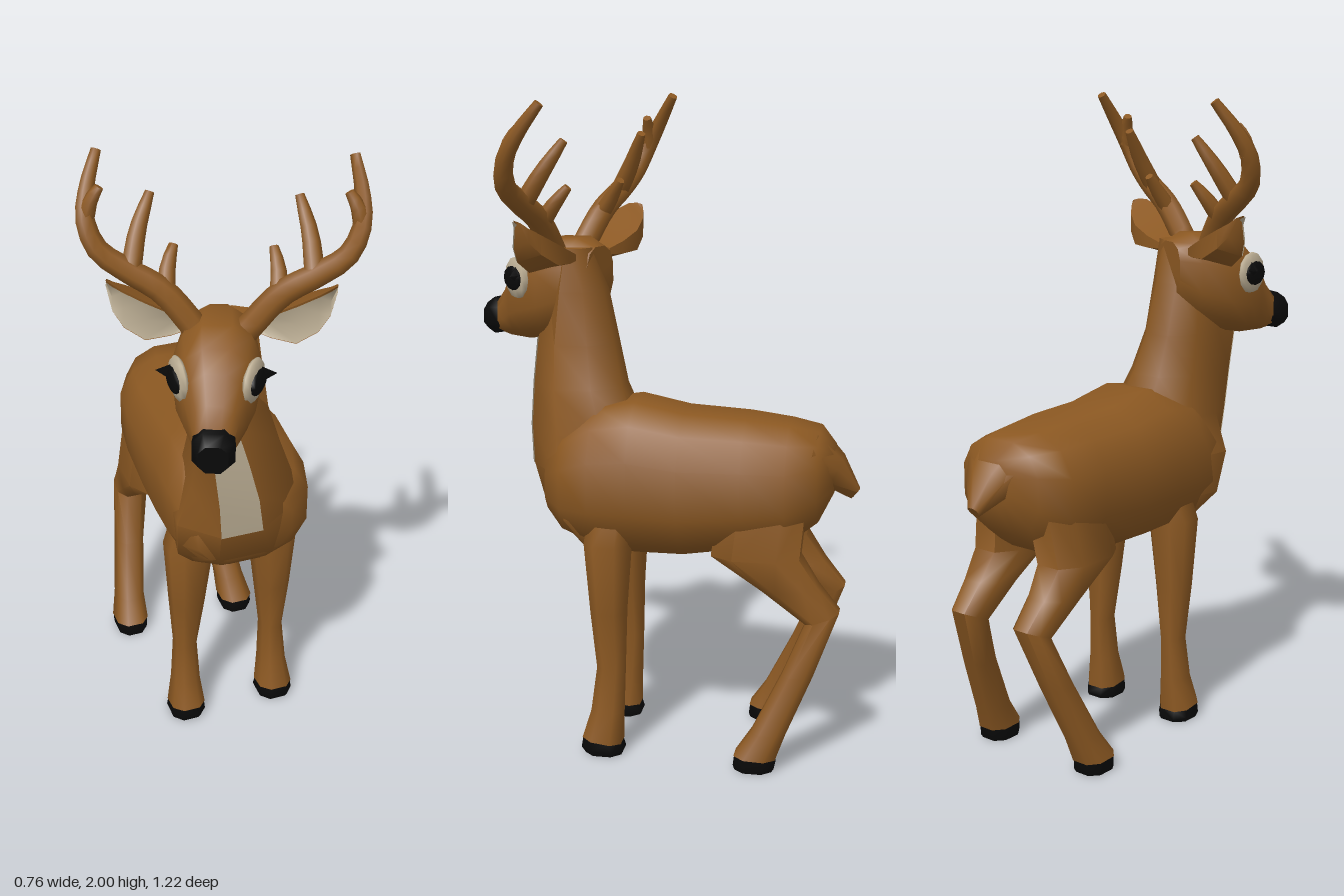
import * as THREE from 'three';
import { toCreasedNormals } from 'three/addons/utils/BufferGeometryUtils.js';

const V = (x, y, z) => new THREE.Vector3(x, y, z);
const CX = 0.068; // centre line of the trunk

// Surface through rows of points; closed lofts get end caps and outward faces.
function loft(rows, closed = true, crease = 1) {
  const pts = rows.flat(), n = rows[0].length, tris = [];
  for (let i = 0; i < rows.length - 1; i++) {
    for (let j = 0; j < (closed ? n : n - 1); j++) {
      const a = i * n + j, b = i * n + (j + 1) % n;
      tris.push([a, b, b + n], [a, b + n, a + n]);
    }
  }
  if (closed) {
    for (const [row, start, flip] of [[rows[0], 0, true], [rows.at(-1), (rows.length - 1) * n, false]]) {
      const mid = V(0, 0, 0);
      row.forEach(p => mid.addScaledVector(p, 1 / n));
      const c = pts.push(mid) - 1;
      for (let j = 0; j < n; j++) {
        const a = start + j, b = start + (j + 1) % n;
        tris.push(flip ? [b, a, c] : [a, b, c]);
      }
    }
    let volume = 0;
    for (const [a, b, c] of tris) volume += pts[a].dot(V(0, 0, 0).crossVectors(pts[b], pts[c]));
    if (volume < 0) tris.forEach(t => t.reverse());
  }
  const geo = new THREE.BufferGeometry().setFromPoints(pts);
  geo.setIndex(tris.flat());
  return toCreasedNormals(geo, crease);
}

// Rounded-square ring: fn receives two values from -1 to 1 and returns a point.
function ring(n, fn, power = 0.8) {
  const reach = Math.cos(Math.PI / n);
  const soft = v => Math.sign(v) * (Math.abs(v) / reach) ** power;
  return Array.from({ length: n }, (_, k) => {
    const a = ((k + 0.5) / n) * Math.PI * 2;
    return fn(soft(Math.cos(a)), soft(Math.sin(a)));
  });
}

// Upright rings stacked along z: [z, centre x, half width, top y, bottom y]
const alongZ = (list, n) => list.map(([z, cx, hw, top, bot]) =>
  ring(n, (c, s) => V(cx + hw * c, (top + bot) / 2 + (top - bot) / 2 * s, z)));

// Leg rings: [centre x, half width, front z, front y, back z, back y]
const legRings = (list, side) => list.map(([x, hw, zf, yf, zb, yb]) =>
  ring(8, (c, s) => V(CX + side * (x + hw * c), (yf + yb) / 2 + (yf - yb) / 2 * s, (zf + zb) / 2 + (zf - zb) / 2 * s)));

// Tapering branch through points
function branch(points, r0, r1, steps) {
  const curve = new THREE.CatmullRomCurve3(points);
  const { normals, binormals } = curve.computeFrenetFrames(steps);
  const rows = [];
  for (let i = 0; i <= steps; i++) {
    const t = i / steps, p = curve.getPointAt(t), r = r0 + (r1 - r0) * t ** 2;
    rows.push(ring(7, (c, s) => p.clone().addScaledVector(normals[i], r * c).addScaledVector(binormals[i], r * s), 1));
  }
  return loft(rows);
}

export function createModel() {
  const coat = new THREE.MeshStandardMaterial({ color: 0x8b5822 });
  coat.name = 'brownCoat';
  const cream = new THREE.MeshStandardMaterial({ color: 0xbcae94, side: THREE.DoubleSide });
  cream.name = 'creamFur';
  const black = new THREE.MeshStandardMaterial({ color: 0x090909 });
  black.name = 'blackHorn';

  const model = new THREE.Group();
  model.name = 'stag';
  const add = (parent, name, geo, mat) => {
    const mesh = new THREE.Mesh(geo, mat);
    mesh.name = name;
    parent.add(mesh);
    return mesh;
  };

  // Trunk
  add(model, 'body', loft(alongZ([
    [-0.535, 0.083, 0.075, 0.98, 0.84], [-0.49, 0.08, 0.15, 1.03, 0.75], [-0.40, 0.075, 0.195, 1.045, 0.68],
    [-0.27, 0.073, 0.212, 1.06, 0.66], [-0.08, 0.068, 0.215, 1.07, 0.63], [0.07, 0.066, 0.222, 1.10, 0.63],
    [0.19, 0.065, 0.222, 1.08, 0.645], [0.28, 0.06, 0.205, 1.02, 0.68], [0.34, 0.04, 0.15, 0.94, 0.74],
  ], 12)), coat);

  // Tail
  add(model, 'tail', loft([
    [1.025, 0.87, -0.485, -0.45, 0.13], [0.945, 0.86, -0.56, -0.515, 0.075], [0.85, 0.82, -0.61, -0.585, 0.018],
  ].map(([yo, yi, zo, zi, hw]) =>
    ring(8, (c, s) => V(0.087 + hw * c, (yo + yi) / 2 + (yo - yi) / 2 * s, (zo + zi) / 2 + (zo - zi) / 2 * s)))), coat);

  // Chest and neck: [y, front x, front half width, front z, centre x, half width, back z]
  const neckRows = [
    [0.645, 0.08, 0.05, 0.24, 0.07, 0.14, 0.10], [0.75, 0.04, 0.085, 0.345, 0.05, 0.2, 0.10],
    [0.88, 0.005, 0.066, 0.40, 0.03, 0.192, 0.08], [1.0, -0.01, 0.062, 0.41, 0.04, 0.16, 0.06],
    [1.13, -0.035, 0.053, 0.41, 0.02, 0.13, 0.12], [1.26, -0.065, 0.045, 0.405, 0, 0.108, 0.15],
    [1.42, -0.06, 0.04, 0.37, -0.01, 0.098, 0.185], [1.55, -0.04, 0.04, 0.33, -0.005, 0.08, 0.22],
  ].map(([y, fx, fw, zf, cx, hw, zb]) => {
    const d = zf - zb;
    return [V(fx + fw, y, zf), V(fx - fw, y, zf), V(cx - hw, y, zf - 0.32 * d), V(cx - hw * 0.9, y, zf - 0.72 * d),
      V(cx - hw * 0.35, y, zb), V(cx + hw * 0.45, y, zb), V(cx + hw, y, zf - 0.72 * d), V(cx + hw, y, zf - 0.32 * d)];
  });
  add(model, 'neck', loft(neckRows), coat);
  const bibRows = neckRows.slice(2, 6).map(r => [r[0], r[1]].map(p => p.clone().add(V(0, 0, 0.004))));
  add(model, 'throatBib', loft(bibRows, false), cream);

  // Legs and hooves
  const frontLeg = [
    [0.11, 0.06, 0.19, 0.82, 0.07, 0.82], [0.14, 0.073, 0.208, 0.68, 0.072, 0.68], [0.146, 0.053, 0.19, 0.46, 0.085, 0.46],
    [0.15, 0.034, 0.172, 0.28, 0.088, 0.28], [0.152, 0.042, 0.19, 0.14, 0.093, 0.14], [0.155, 0.055, 0.217, 0.05, 0.096, 0.035],
  ];
  const frontHoof = [[0.155, 0.053, 0.215, 0.052, 0.098, 0.037], [0.155, 0.056, 0.22, 0.018, 0.09, 0.01], [0.155, 0.052, 0.208, 0, 0.095, 0]];
  const rearLeg = [
    [0.10, 0.08, -0.20, 0.84, -0.46, 0.84], [0.128, 0.082, -0.18, 0.66, -0.445, 0.66], [0.13, 0.065, -0.335, 0.555, -0.50, 0.575],
    [0.127, 0.053, -0.465, 0.455, -0.565, 0.495], [0.158, 0.046, -0.40, 0.30, -0.493, 0.30],
    [0.187, 0.046, -0.312, 0.12, -0.417, 0.12], [0.197, 0.055, -0.262, 0.045, -0.388, 0.04],
  ];
  const rearHoof = [[0.197, 0.052, -0.264, 0.047, -0.387, 0.042], [0.197, 0.052, -0.26, 0.015, -0.385, 0.012], [0.197, 0.049, -0.265, 0, -0.378, 0]];
  for (const [label, s] of [['left', 1], ['right', -1]]) {
    add(model, label + 'FrontLeg', loft(legRings(frontLeg, s)), coat);
    add(model, label + 'FrontHoof', loft(legRings(frontHoof, s)), black);
    add(model, label + 'RearLeg', loft(legRings(rearLeg, s)), coat);
    add(model, label + 'RearHoof', loft(legRings(rearHoof, s)), black);
  }

  // Head, turned to its right
  const head = new THREE.Group();
  head.name = 'head';
  head.position.set(0.015, 0, 0.165);
  head.rotation.y = -0.39;
  model.add(head);
  add(head, 'skull', loft(alongZ([
    [0.04, 0, 0.07, 1.55, 1.38], [0.10, 0, 0.105, 1.575, 1.31], [0.20, 0, 0.122, 1.57, 1.265], [0.28, 0, 0.11, 1.54, 1.25],
    [0.33, 0, 0.088, 1.49, 1.25], [0.37, 0, 0.067, 1.415, 1.25], [0.41, 0, 0.053, 1.365, 1.257],
  ], 12)), coat);
  add(head, 'nose', loft(alongZ([
    [0.395, 0, 0.057, 1.367, 1.257], [0.43, 0, 0.06, 1.366, 1.25], [0.465, 0, 0.042, 1.345, 1.262],
  ], 8)), black);

  const ball = new THREE.SphereGeometry(1, 10, 6);
  for (const [label, s] of [['left', 1], ['right', -1]]) {
    // Eye patch, eye and lash
    const eye = new THREE.Group();
    eye.name = label + 'Eye';
    eye.position.set(s * 0.103, 1.448, 0.282);
    eye.rotation.y = s * 1.17;
    head.add(eye);
    add(eye, 'eyePatch', ball, cream).scale.set(0.066, 0.066, 0.02);
    const pupil = add(eye, 'pupil', ball, black);
    pupil.scale.set(0.05, 0.038, 0.014);
    pupil.position.z = 0.015;
    const lash = add(eye, 'lash', new THREE.ConeGeometry(0.028, 0.05, 4), black);
    lash.position.set(s * 0.032, 0.012, 0.03);
    lash.rotation.set(Math.PI / 2, 0, -s * 0.6);

    // Ear: [x, upper y, lower y, front z, back z]
    const ear = [
      [0.09, 1.545, 1.505, 0.11, 0.06], [0.14, 1.57, 1.495, 0.13, 0.045], [0.21, 1.61, 1.487, 0.145, 0.038],
      [0.27, 1.64, 1.525, 0.143, 0.055], [0.302, 1.652, 1.57, 0.13, 0.075], [0.32, 1.653, 1.635, 0.11, 0.09],
    ].map(r => [s * r[0] + 0.008, ...r.slice(1)]);
    add(head, label + 'Ear', loft(ear.map(([x, u, l, f, b]) => [
      V(x, u, f), V(x, (u + l) / 2, f - 0.012), V(x, l, f),
      V(x, l * 0.75 + u * 0.25, b), V(x, l * 0.25 + u * 0.75, b)])), coat);
    add(head, label + 'EarLining', loft(ear.map(([x, u, l, f]) => [
      V(x, u - 0.004, f + 0.004), V(x, (u + l) / 2, f - 0.007), V(x, l + 0.004, f + 0.004)]), false), cream);

    // Antler beam and tines
    const antler = new THREE.Group();
    antler.name = label + 'Antler';
    antler.position.x = 0.01;
    head.add(antler);
    const P = list => list.map(([x, y, z]) => V(s * x, y, z));
    add(antler, 'beam', branch(P([[0.07, 1.53, 0.15], [0.165, 1.64, 0.136], [0.265, 1.70, 0.13], [0.34, 1.755, 0.125],
      [0.374, 1.83, 0.1], [0.373, 1.90, 0.058], [0.35, 1.99, -0.008]]), 0.035, 0.013, 16), coat);
    add(antler, 'lowerTine', branch(P([[0.155, 1.63, 0.135], [0.152, 1.69, 0.09], [0.138, 1.74, 0.05]]), 0.024, 0.012, 4), coat);
    add(antler, 'middleTine', branch(P([[0.25, 1.695, 0.13], [0.235, 1.79, 0.07], [0.204, 1.88, 0.015]]), 0.026, 0.012, 5), coat);
    add(antler, 'upperTine', branch(P([[0.373, 1.83, 0.095], [0.36, 1.88, 0.09], [0.335, 1.92, 0.08]]), 0.022, 0.012, 4), coat);
  }
  return model;
}
